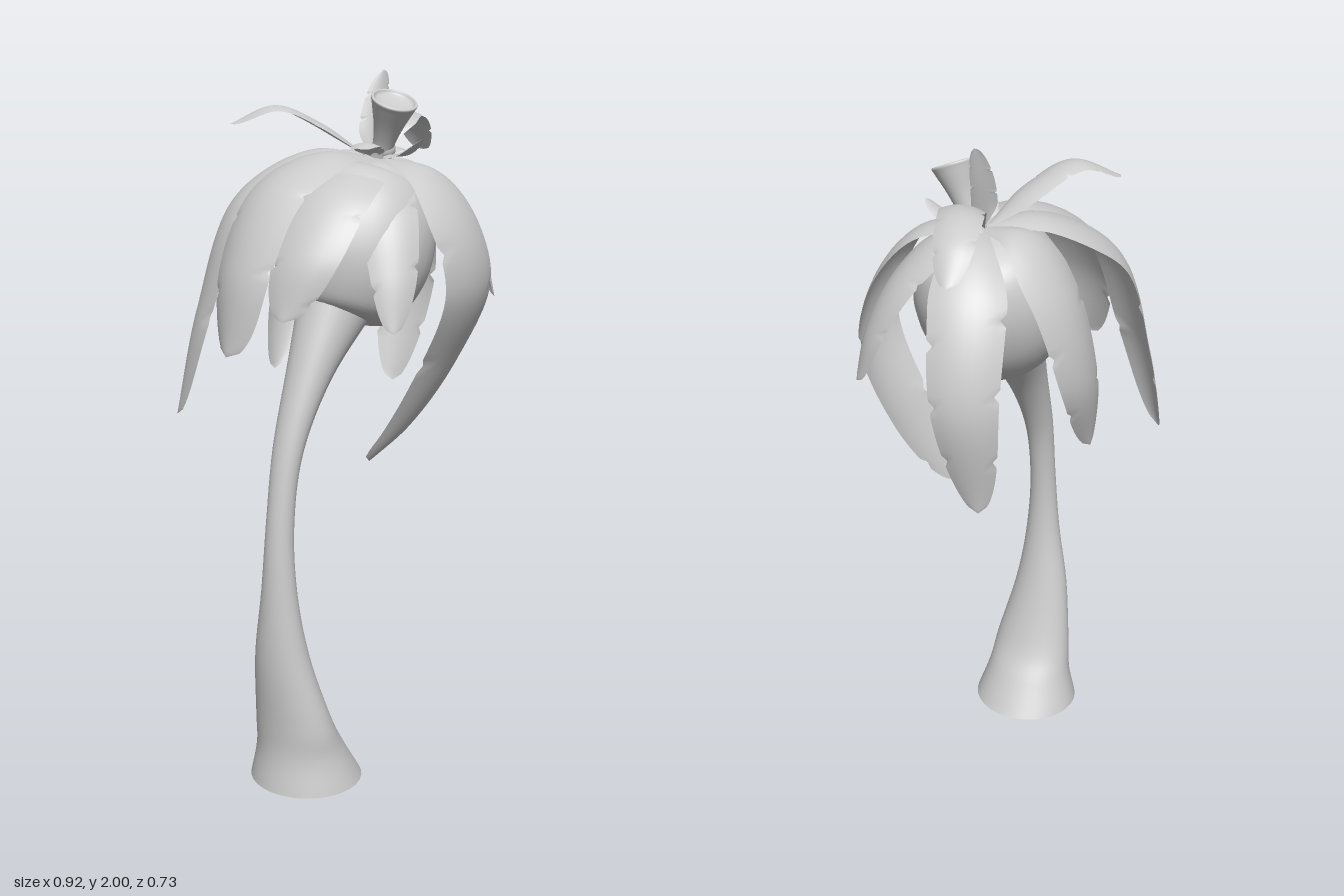
import * as THREE from 'three';
import { mergeVertices } from 'three/addons/utils/BufferGeometryUtils.js';

const V = (x, y, z) => new THREE.Vector3(x, y, z);
const UP = V(0, 1, 0);
const material = new THREE.MeshStandardMaterial({ color: 0xcccccc, side: THREE.DoubleSide });

function addMesh(parent, name, geometry) {
  const mesh = new THREE.Mesh(geometry, material);
  mesh.name = name;
  parent.add(mesh);
  return mesh;
}

// Drop uv seams so the surface shades smoothly all round
function smooth(geometry) {
  geometry.deleteAttribute('uv');
  geometry.deleteAttribute('normal');
  const merged = mergeVertices(geometry, 1e-5);
  merged.computeVertexNormals();
  return merged;
}

// Open tube through rings of [x, y, z, radiusX, radiusZ, tilt]
function loft(rings, rows = 48, cols = 32) {
  const centres = new THREE.CatmullRomCurve3(rings.map(r => V(r[0], r[1], r[2])), false, 'catmullrom');
  const sizes = new THREE.CatmullRomCurve3(rings.map(r => V(r[3], r[4], r[5])), false, 'catmullrom');
  const geometry = new THREE.PlaneGeometry(1, 1, cols, rows);
  const pos = geometry.attributes.position;
  for (let i = 0; i <= rows; i++) {
    const c = centres.getPoint(1 - i / rows), s = sizes.getPoint(1 - i / rows);
    for (let j = 0; j <= cols; j++) {
      const a = (j / cols) * Math.PI * 2, u = Math.sin(a) * s.x;
      pos.setXYZ(i * (cols + 1) + j,
        c.x + u * Math.cos(s.z), c.y + u * Math.sin(s.z), c.z + Math.cos(a) * s.y);
    }
  }
  return smooth(geometry);
}

// Arched leaf blade: a sheet swept along a path, edges drooping, with torn nicks.
// A higher tip value gives a blunter end; heading turns the blade about the vertical.
function leafGeometry({ path, half, tip = 3, curl = 0.26, nick = 12, heading }) {
  const rows = 48, cols = 8;
  const points = path.map(p => V(...p));
  const curve = new THREE.CatmullRomCurve3(points);
  const out = heading ? V(...heading) : points[Math.floor(points.length / 2)].clone().sub(points[0]);
  out.y = 0;
  const side = UP.clone().cross(out.normalize());
  const geometry = new THREE.PlaneGeometry(1, 1, cols, rows);
  const pos = geometry.attributes.position;
  for (let i = 0; i <= rows; i++) {
    const t = i / rows;
    const centre = curve.getPointAt(t);
    const normal = curve.getTangentAt(t).cross(side).normalize();
    const width = half * THREE.MathUtils.smoothstep(t, -0.12, 0.32) * Math.sqrt(1 - Math.pow(t, tip));
    for (let j = 0; j <= cols; j++) {
      const s = (j / cols) * 2 - 1;
      const torn = i > 16 && ((j === 0 && i % nick === 3) || (j === cols && i % (nick + 2) === 6));
      const w = width * s * (torn ? 0.84 : 1);
      const p = centre.clone().addScaledVector(side, w).addScaledVector(normal, -curl * width * s * s);
      pos.setXYZ(i * (cols + 1) + j, p.x, p.y, p.z);
    }
  }
  return smooth(geometry);
}

// Turned shape from a smoothed profile of [radius, height]
function turned(profile, divisions) {
  const pts = new THREE.SplineCurve(profile.map(p => new THREE.Vector2(...p))).getPoints(divisions);
  pts.forEach(p => { p.x = Math.max(0, p.x); });
  return smooth(new THREE.LatheGeometry(pts, 32));
}

export function createModel() {
  const model = new THREE.Group();
  model.name = 'palmPlant';

  // Curved trunk, flared and open at the foot
  addMesh(model, 'trunk', loft([
    [-0.265, 0, 0.035, 0.157, 0.165, 0],
    [-0.288, 0.1, 0.035, 0.117, 0.136, 0],
    [-0.318, 0.2, 0.035, 0.088, 0.122, 0],
    [-0.355, 0.4, 0.026, 0.065, 0.085, 0],
    [-0.37, 0.6, 0.03, 0.046, 0.053, 0],
    [-0.362, 0.8, 0.03, 0.038, 0.04, -0.1],
    [-0.325, 1.0, 0.03, 0.039, 0.045, -0.25],
    [-0.24, 1.2, 0.036, 0.06, 0.066, -0.45],
    [-0.12, 1.38, 0.036, 0.11, 0.105, -0.45],
  ]));

  // Round bulb with a flattened underside, leaning with the top of the trunk
  const bulb = addMesh(model, 'bulb', turned([
    [0, 0], [0.12, 0.002], [0.175, 0.055], [0.212, 0.16],
    [0.208, 0.28], [0.16, 0.38], [0.08, 0.42], [0, 0.43],
  ], 40));
  bulb.position.set(-0.105, 1.34, 0.037);
  bulb.rotation.z = -0.4;

  // Cup with a shallow dish on a short stem, tipped forward
  const cup = addMesh(model, 'cup', turned([
    [0.036, -0.02], [0.03, 0.04], [0.04, 0.1], [0.06, 0.165], [0.066, 0.183],
    [0.06, 0.187], [0.052, 0.178], [0.03, 0.172], [0, 0.17],
  ], 48));
  cup.position.set(0.085, 1.755, 0.03);
  cup.quaternion.setFromUnitVectors(UP, V(-0.025, 0.17, 0.07).normalize());
  addMesh(model, 'stemKnob', new THREE.SphereGeometry(0.033, 20, 12)).position.set(0.085, 1.785, 0.045);

  // Long hanging leaves around the bulb
  const root = [0.07, 1.765, 0.02];
  const hanging = {
    frontLeaf: { half: 0.13, tip: 5, curl: 0.2, nick: 15, path: [root, [0.075, 1.74, 0.2], [0.075, 1.6, 0.325],
      [0.1, 1.42, 0.357], [0.105, 1.18, 0.25], [0.04, 1.0, 0.155], [-0.05, 0.915, 0.1]] },
    backRightLeaf: { half: 0.135, path: [root, [-0.04, 1.785, -0.11], [-0.22, 1.66, -0.24],
      [-0.33, 1.35, -0.295], [-0.37, 1.05, -0.345]] },
    rightLeaf: { half: 0.13, tip: 6, path: [root, [-0.1, 1.785, -0.03], [-0.28, 1.7, -0.07],
      [-0.41, 1.5, -0.075], [-0.46, 1.27, -0.07]] },
    rightFrontLeaf: { half: 0.11, tip: 5, nick: 17, path: [root, [-0.08, 1.75, 0.06], [-0.22, 1.69, 0.095],
      [-0.34, 1.54, 0.1], [-0.39, 1.37, 0.07]] },
    backLeaf: { half: 0.11, path: [root, [0.09, 1.77, -0.12], [0.11, 1.63, -0.24],
      [0.08, 1.38, -0.3], [-0.03, 1.13, -0.27]] },
    leftLeaf: { half: 0.105, nick: 9, heading: [0.92, 0, -0.38], path: [root, [0.19, 1.745, -0.01], [0.31, 1.63, -0.06],
      [0.39, 1.38, -0.09], [0.33, 1.05, -0.1]] },
    leftFrontLeaf: { half: 0.093, path: [root, [0.15, 1.75, 0.1], [0.24, 1.64, 0.19],
      [0.29, 1.5, 0.25], [0.31, 1.36, 0.28]] },
    frontRightLeaf: { half: 0.085, path: [root, [-0.02, 1.75, 0.11], [-0.1, 1.64, 0.205],
      [-0.15, 1.48, 0.26], [-0.18, 1.33, 0.28]] },
  };

  // Short leaves springing up around the cup
  const crown = {
    archedBackLeaf: { half: 0.055, tip: 5, path: [[0.06, 1.77, 0], [-0.04, 1.86, -0.08], [-0.14, 1.91, -0.16],
      [-0.22, 1.86, -0.255]] },
    archedLeftLeaf: { half: 0.062, tip: 5, path: [[0.09, 1.77, 0.01], [0.18, 1.86, 0.01], [0.28, 1.88, -0.03],
      [0.385, 1.84, -0.065], [0.46, 1.75, -0.085]] },
    uprightLeaf: { half: 0.045, heading: [0.4, 0, -0.9], path: [[0.08, 1.77, 0.01], [0.11, 1.89, 0], [0.145, 2, 0]] },
    smallRightLeaf: { half: 0.045, path: [[0.06, 1.77, 0.03], [0, 1.81, 0.05], [-0.07, 1.8, 0.07]] },
    smallFrontLeaf: { half: 0.035, path: [[0.08, 1.77, 0.04], [0.08, 1.78, 0.11], [0.08, 1.82, 0.18]] },
    smallLeftLeaf: { half: 0.04, path: [[0.09, 1.77, 0.03], [0.13, 1.79, 0.045], [0.17, 1.78, 0.055]] },
  };

  for (const [groupName, leaves] of Object.entries({ hangingLeaves: hanging, crownLeaves: crown })) {
    const group = new THREE.Group();
    group.name = groupName;
    for (const [name, leaf] of Object.entries(leaves)) addMesh(group, name, leafGeometry(leaf));
    model.add(group);
  }
  return model;
}
